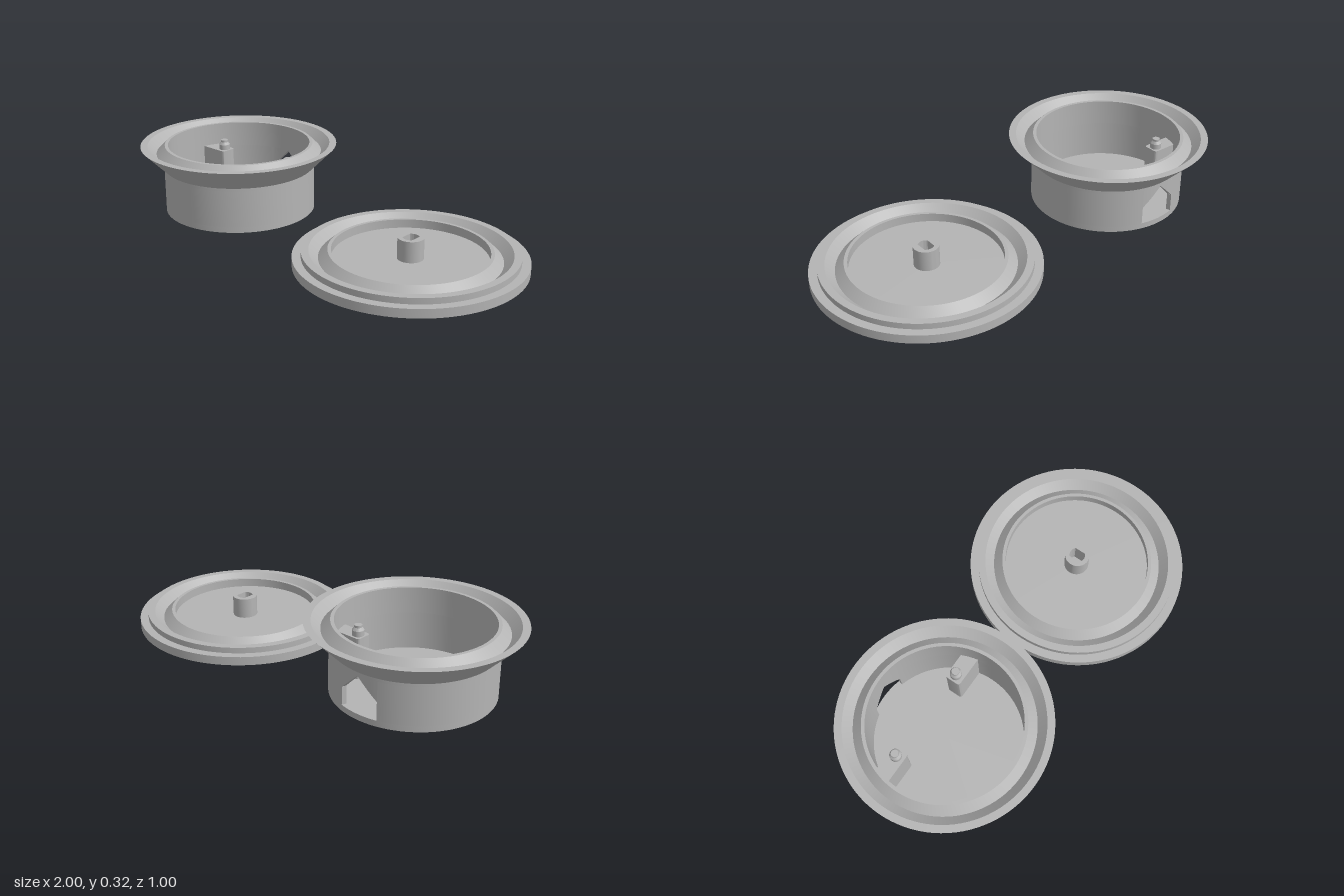
import * as THREE from 'three';
import { toCreasedNormals } from 'three/addons/utils/BufferGeometryUtils.js';

const FLOOR = 0.027, WALL_IN = 0.335, WALL_OUT = 0.357;

export function createModel() {
  const grey = new THREE.MeshStandardMaterial({ color: 0xb4b4b4 });
  grey.name = 'plain grey';
  const jambGrey = grey;

  const add = (parent, name, geometry) => {
    const mesh = new THREE.Mesh(geometry, grey);
    mesh.name = name;
    parent.add(mesh);
    return mesh;
  };
  const lathe = (pts, segs = 96, start = 0, length = Math.PI * 2) =>
    new THREE.LatheGeometry(pts.map(p => new THREE.Vector2(...p)), segs, start, length);
  const crease = g => toCreasedNormals(g, 0.5);
  // Extrude a plan outline (x, -z) upward from y0 to y1
  const raise = (shape, y0, y1) => {
    const g = new THREE.ExtrudeGeometry(shape, { depth: y1 - y0, bevelEnabled: false, curveSegments: 24 });
    return crease(g.rotateX(-Math.PI / 2).translate(0, y0, 0));
  };

  const model = new THREE.Group();
  model.name = 'bowlAndLid';

  // ---- Bowl ----
  const bowl = new THREE.Group();
  bowl.name = 'bowl';
  bowl.position.x = -0.537;
  model.add(bowl);

  add(bowl, 'bowlFloor', crease(lathe([[0, 0], [WALL_OUT, 0], [WALL_OUT, FLOOR], [0, FLOOR]])));

  // Flared rim with a V groove around the opening
  add(bowl, 'flaredRim', crease(lathe([
    [WALL_IN, 0.2], [WALL_OUT, 0.2], [WALL_OUT, 0.213], [0.463, 0.32], [0.43, 0.32],
    [0.39, 0.28], [0.35, 0.32], [WALL_IN, 0.32], [WALL_IN, 0.2]])));

  // Wall, open at the back for a gabled window
  const halfWidth = 0.092, shoulder = 0.11, apex = 0.197;
  const half = Math.asin(halfWidth / WALL_OUT);
  const section = [[WALL_IN, FLOOR], [WALL_OUT, FLOOR], [WALL_OUT, 0.2], [WALL_IN, 0.2], [WALL_IN, FLOOR]];
  add(bowl, 'bowlWall', crease(lathe(section, 88, Math.PI + half, Math.PI * 2 - half * 2)));

  // Wall above the window: lower edge lifted to the gable line
  const lintel = lathe(section, 16, Math.PI - half, half * 2);
  const pos = lintel.attributes.position;
  for (let i = 0; i < pos.count; i++) {
    if (pos.getY(i) > 0.1) continue;
    const s = WALL_OUT * Math.abs(pos.getX(i)) / Math.hypot(pos.getX(i), pos.getZ(i));
    pos.setY(i, apex - (apex - shoulder) * s / halfWidth);
  }
  add(bowl, 'windowGable', crease(lintel));

  // Window jambs close the cut ends of the wall
  for (const side of [-1, 1]) {
    const h = shoulder - FLOOR, r = (WALL_IN + WALL_OUT) / 2;
    const jamb = add(bowl, 'windowJamb', new THREE.BoxGeometry(0.002, h, WALL_OUT - WALL_IN - 0.001));
    jamb.material = jambGrey;
    const phi = Math.PI + side * (half + 0.0005);
    jamb.position.set(r * Math.sin(phi), FLOOR + h / 2, r * Math.cos(phi));
    jamb.rotation.y = phi;
  }

  // Two brackets on the inner wall, each with a stepped pin
  for (const side of [-1, 1]) {
    const s = new THREE.Shape();
    s.moveTo(side * 0.312, 0.14);
    s.lineTo(side * 0.2, 0.14);
    s.quadraticCurveTo(side * 0.186, 0.14, side * 0.186, 0.126);
    s.lineTo(side * 0.186, 0.08);
    s.quadraticCurveTo(side * 0.186, 0.066, side * 0.2, 0.066);
    s.lineTo(side * 0.338, 0.066);
    s.closePath();
    add(bowl, 'bracket', raise(s, FLOOR - 0.005, 0.215));
    const pin = lathe([[0, 0.21], [0.026, 0.21], [0.026, 0.24], [0.017, 0.252], [0.017, 0.262], [0, 0.262]], 24);
    add(bowl, 'bracketPin', crease(pin)).position.set(side * 0.219, 0, -0.105);
  }

  // ---- Lid ----
  const lid = new THREE.Group();
  lid.name = 'lid';
  lid.position.x = 0.498;
  model.add(lid);

  // Stepped disc with a matching V groove and a sunken centre
  add(lid, 'lidDisc', crease(lathe([
    [0, 0], [0.501, 0], [0.501, 0.04], [0.463, 0.04], [0.463, 0.067], [0.43, 0.067],
    [0.39, 0.03], [0.35, 0.067], [WALL_IN, 0.067], [WALL_IN, FLOOR], [0, FLOOR]])));

  // Centre post with a flat-sided socket
  const post = new THREE.Shape().absarc(0, 0, 0.057, 0, Math.PI * 2);
  const socket = new THREE.Path();
  const a = Math.acos(0.025 / 0.036);
  socket.absarc(0, 0, 0.036, a, Math.PI - a);
  socket.absarc(0, 0, 0.036, Math.PI + a, Math.PI * 2 - a);
  socket.closePath();
  post.holes.push(socket);
  add(lid, 'centrePost', raise(post, FLOOR - 0.005, 0.122));

  return model;
}
